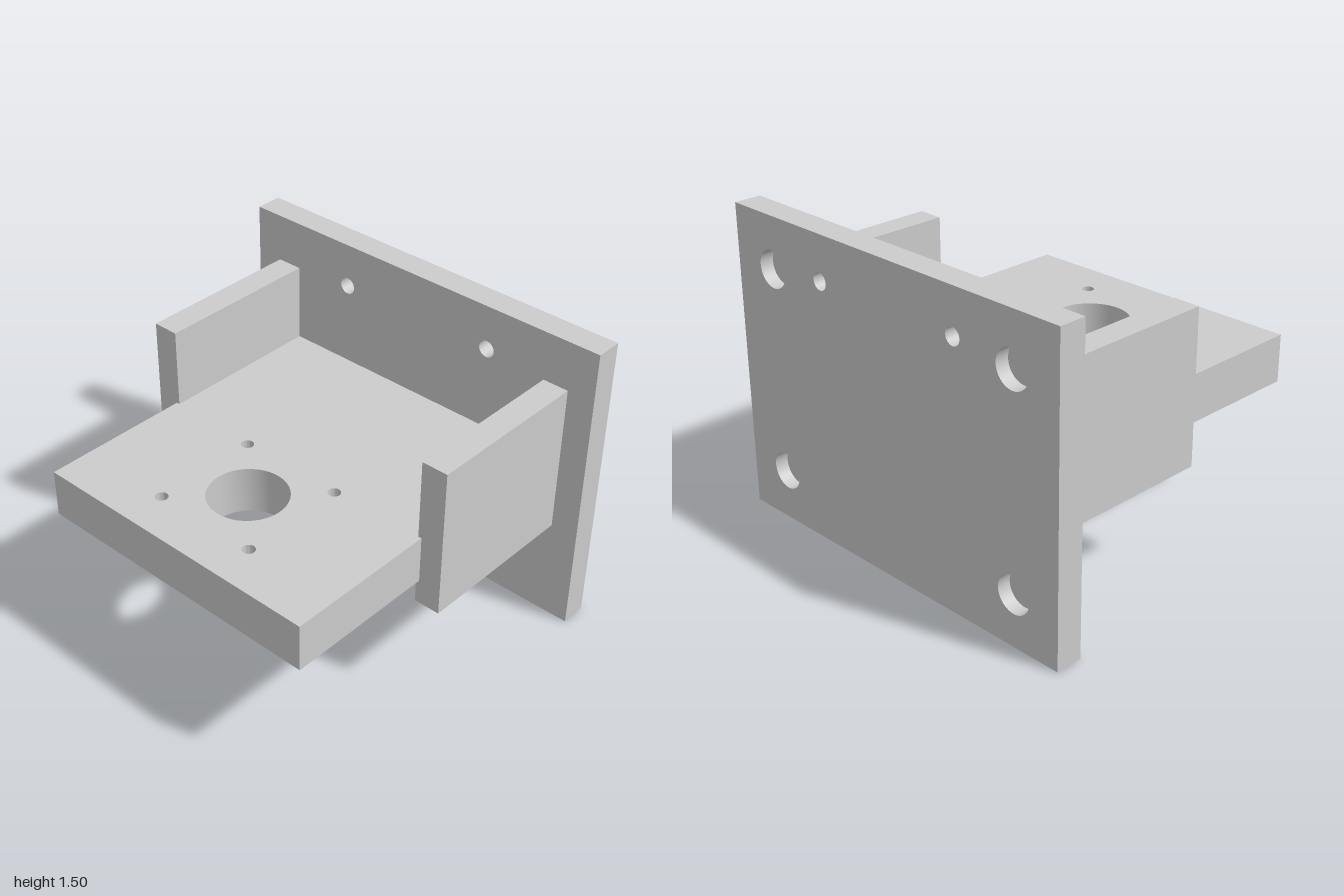
import * as THREE from 'three';
import { toCreasedNormals } from 'three/addons/utils/BufferGeometryUtils.js';

const SEGMENTS = 48;
const material = new THREE.MeshStandardMaterial({ color: 0xcccccc });

// Rectangular plate in XY, extruded along +z, with round holes given as [x, y, radius]
function drilledPlate(x0, x1, y0, y1, depth, holes) {
  const shape = new THREE.Shape([
    new THREE.Vector2(x0, y0), new THREE.Vector2(x1, y0),
    new THREE.Vector2(x1, y1), new THREE.Vector2(x0, y1),
  ]);
  for (const [x, y, r] of holes) {
    shape.holes.push(new THREE.Path().absarc(x, y, r, 0, Math.PI * 2, true));
  }
  const geometry = new THREE.ExtrudeGeometry(shape, {
    depth, bevelEnabled: false, curveSegments: SEGMENTS / 2,
  });
  return toCreasedNormals(geometry, Math.PI / 6);
}

// The four mirrored positions around a centre
function fourHoles(cx, cy, dx, dy, r) {
  return [[-1, -1], [1, -1], [1, 1], [-1, 1]].map(([sx, sy]) => [cx + sx * dx, cy + sy * dy, r]);
}

export function createModel() {
  const group = new THREE.Group();
  const add = (name, geometry) => {
    const mesh = new THREE.Mesh(geometry, material);
    mesh.name = name;
    group.add(mesh);
    return mesh;
  };

  const backZ = -0.86, plateThickness = 0.133, plateFront = backZ + plateThickness;

  // Upright mounting plate with two through holes and four corner recesses
  const recesses = fourHoles(0, 0.75, 0.75, 0.5, 0.09);
  const throughHoles = [[-0.417, 1.283, 0.041], [0.417, 1.283, 0.041]];
  add('backPlate', drilledPlate(-1, 1, 0, 1.5, plateThickness, [...throughHoles, ...recesses]))
    .position.z = backZ;

  // Floors closing the corner recesses halfway through the plate
  const floorDepth = plateThickness / 2;
  for (const [x, y, r] of recesses) {
    const floor = new THREE.CylinderGeometry(r, r, floorDepth, SEGMENTS).rotateX(Math.PI / 2);
    add('recessFloor', floor).position.set(x, y, plateFront - floorDepth / 2);
  }

  // Horizontal platform with a large bore and four screw holes
  const holes = [[0, -0.387, 0.187], ...fourHoles(0, -0.387, 0.267, 0.267, 0.03)];
  const platform = drilledPlate(-0.75, 0.75, -0.86, -plateFront, 0.235, holes);
  platform.rotateX(-Math.PI / 2);
  add('platform', platform).position.y = 0.635;

  // Side cheeks joining the platform to the back plate
  const cheekLength = 0.107 - plateFront;
  for (const [name, side] of [['leftCheek', 1], ['rightCheek', -1]]) {
    add(name, new THREE.BoxGeometry(0.13, 0.746, cheekLength))
      .position.set(side * 0.798, 0.887, plateFront + cheekLength / 2);
  }

  return group;
}
